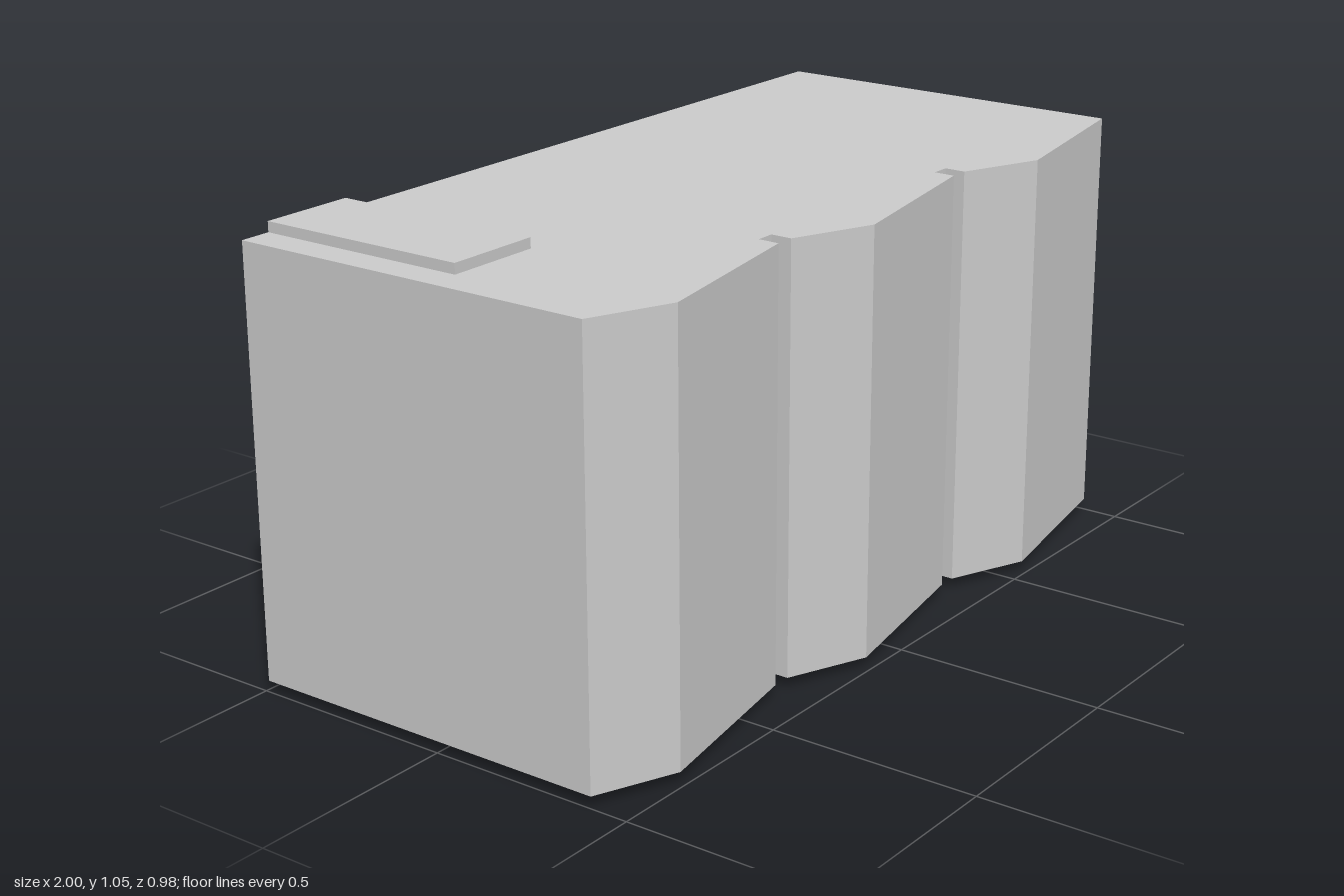
import * as THREE from 'three';

const BACK = -0.49;

export function createModel() {
  const model = new THREE.Group();
  const material = new THREE.MeshStandardMaterial({ color: 0xcccccc, flatShading: true });

  function add(name, geometry) {
    const mesh = new THREE.Mesh(geometry, material);
    mesh.name = name;
    model.add(mesh);
  }

  // Box given by its limits on each axis
  function slab(name, x0, x1, y0, y1, z0, z1) {
    const geometry = new THREE.BoxGeometry(x1 - x0, y1 - y0, z1 - z0);
    geometry.translate((x0 + x1) / 2, (y0 + y1) / 2, (z0 + z1) / 2);
    add(name, geometry);
  }

  // Body: plan outline with three angled front bays and a groove between each
  const bays = [[-1, -0.81, -0.365], [-0.32, -0.13, 0.315], [0.36, 0.55, 1]];
  const plan = [[-1, BACK]];
  bays.forEach(([left, peak, right], i) => {
    if (i > 0) plan.push([left, 0.36]);
    plan.push([left, 0.41], [peak, 0.49], [right, 0.41]);
    if (i < 2) plan.push([right, 0.36]);
  });
  plan.push([1, BACK]);
  const shape = new THREE.Shape(plan.map(([x, z]) => new THREE.Vector2(x, -z)));
  const body = new THREE.ExtrudeGeometry(shape, { depth: 0.995, bevelEnabled: false });
  body.rotateX(-Math.PI / 2).translate(0, 0.027, 0);
  add('body', body);

  // Raised plate on the roof
  slab('roofPlate', -0.925, -0.695, 1.022, 1.046, BACK, 0.027);

  // Row of pads underneath; the first one runs through to the back face
  const pads = [[-0.9, -0.592], [-0.552, -0.272], [-0.245, 0.038],
    [0.062, 0.344], [0.369, 0.652], [0.678, 0.96]];
  pads.forEach(([x0, x1], i) => {
    slab('basePad' + (i + 1), x0, x1, 0, 0.027, i === 0 ? BACK : -0.36, 0.18);
  });

  return model;
}
